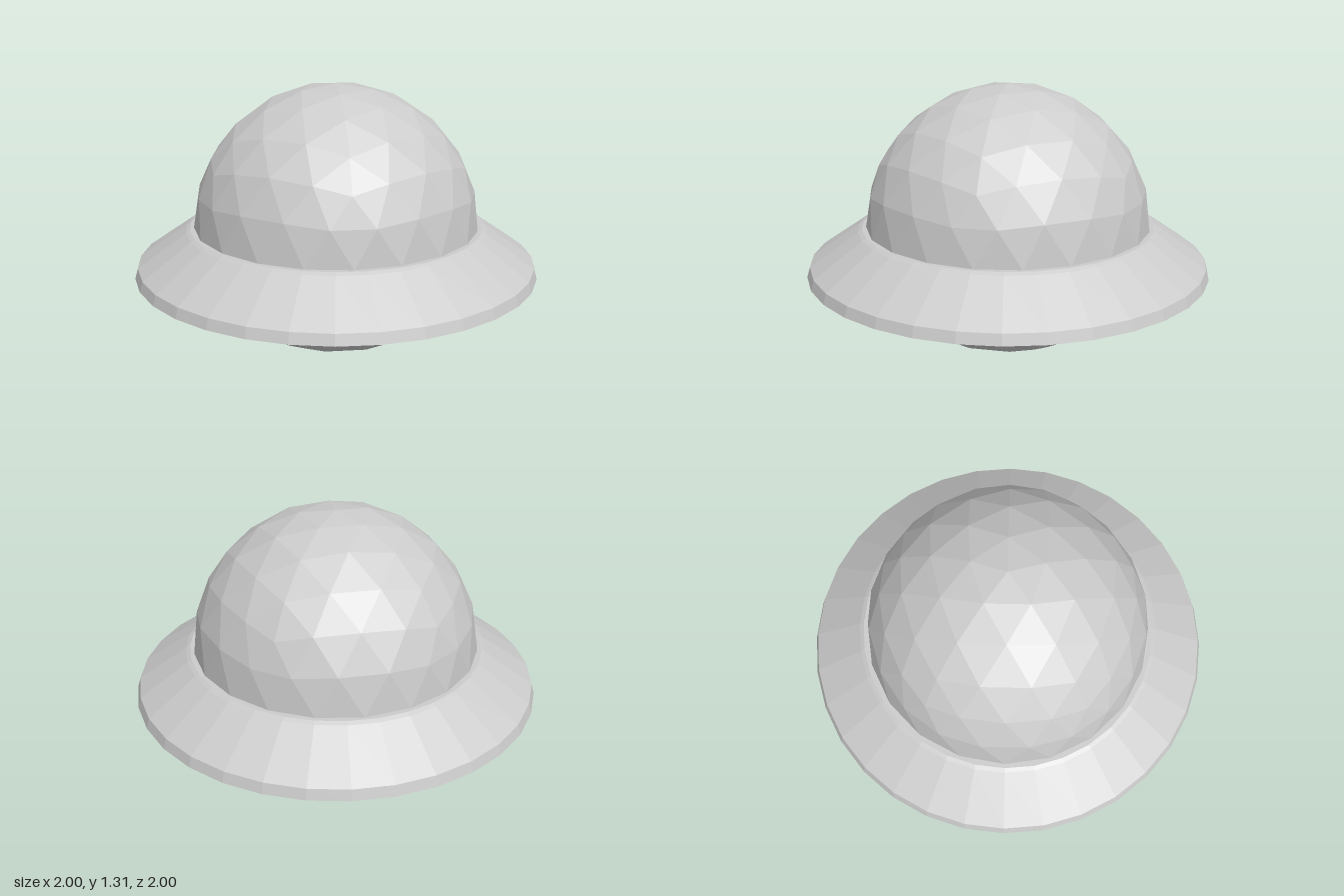
import * as THREE from 'three';

const material = new THREE.MeshStandardMaterial({ color: 0xcccccc, flatShading: true, side: THREE.DoubleSide });

// Half of a faceted icosphere with a corner at each pole; side = 1 keeps the top, -1 the bottom
function halfIcosphere(radius, height, side) {
  const sphere = new THREE.IcosahedronGeometry(1, 3);
  sphere.rotateZ(-Math.atan(2 / (1 + Math.sqrt(5))));
  const p = sphere.attributes.position;
  const kept = [];
  for (let i = 0; i < p.count; i += 3) {
    if ((p.getY(i) + p.getY(i + 1) + p.getY(i + 2)) * side <= 0) continue;
    for (let k = i; k < i + 3; k++) kept.push(p.getX(k) * radius, p.getY(k) * height, p.getZ(k) * radius);
  }
  const geometry = new THREE.BufferGeometry();
  geometry.setAttribute('position', new THREE.Float32BufferAttribute(kept, 3));
  geometry.computeVertexNormals();
  return geometry;
}

export function createModel() {
  const group = new THREE.Group();
  const add = (name, geometry, y = 0) => {
    const mesh = new THREE.Mesh(geometry, material);
    mesh.name = name;
    mesh.position.y = y;
    group.add(mesh);
  };

  // Upper dome and shallower belly
  add('dome', halfIcosphere(0.705, 0.705, 1), 0.61);
  add('belly', halfIcosphere(0.6, 0.35, -1), 0.35);

  // Sloping rim, from the underside out around the lip and up to the top
  const profile = [
    [0.5, 0.336], [0.74, 0.336], [0.91, 0.35], [1, 0.385],
    [0.985, 0.436], [0.745, 0.603], [0.725, 0.613], [0.6, 0.613],
  ].map(([r, y]) => new THREE.Vector2(r, y));
  add('rim', new THREE.LatheGeometry(profile, 32));

  return group;
}
